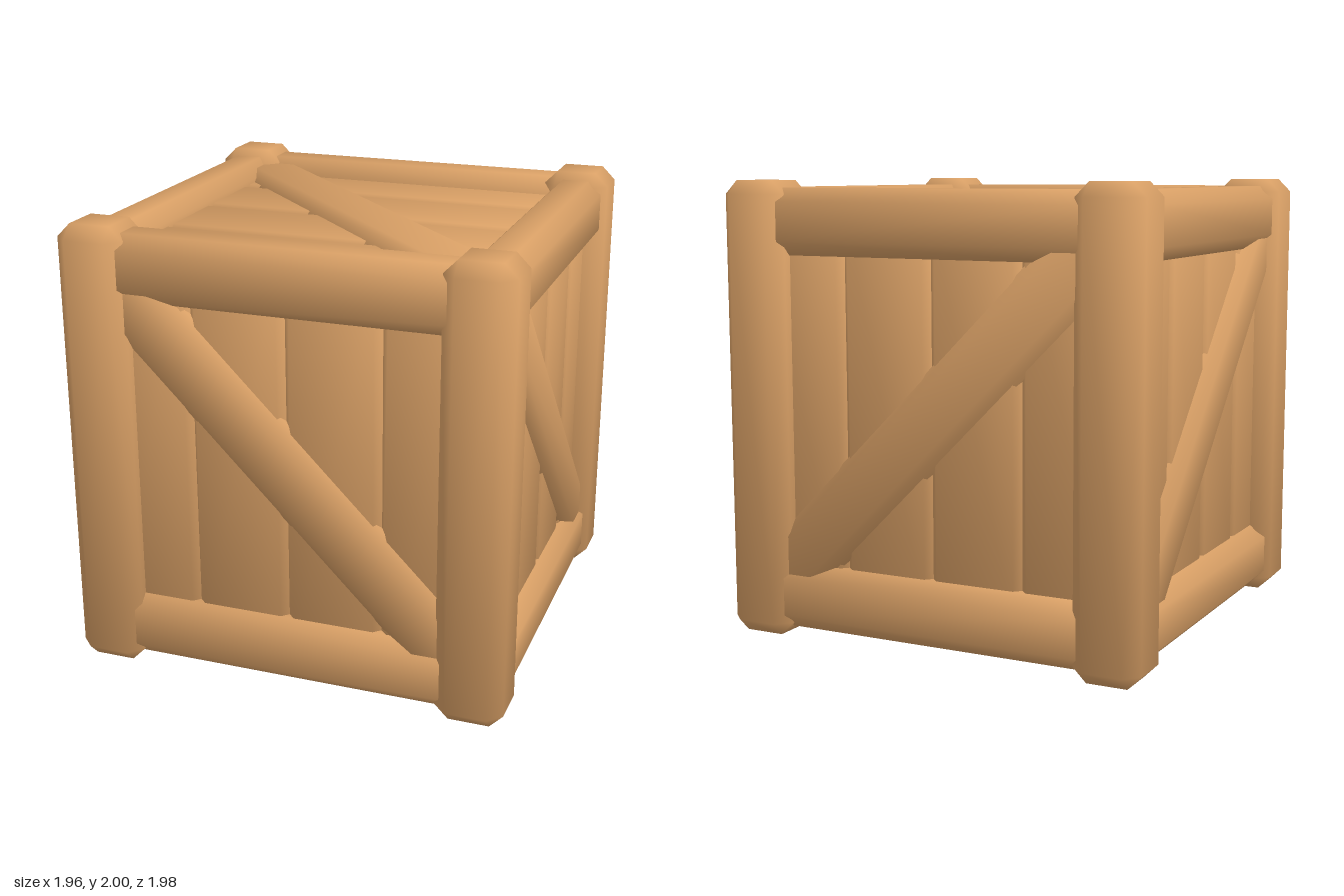
import * as THREE from 'three';
import { ConvexGeometry } from 'three/addons/geometries/ConvexGeometry.js';

const wood = new THREE.MeshStandardMaterial({ color: 0xd9a066 });
wood.name = 'wood';

// Box with bevelled edges and soft normals leaning outward at every corner
function bevelBox(w, h, d, bevel) {
  const half = [w / 2, h / 2, d / 2];
  const points = [];
  for (const sx of [-1, 1]) for (const sy of [-1, 1]) for (const sz of [-1, 1]) {
    const s = [sx, sy, sz];
    for (let axis = 0; axis < 3; axis++) {
      points.push(new THREE.Vector3(...half.map((v, i) => s[i] * (i === axis ? v : v - bevel))));
    }
  }
  const geo = new ConvexGeometry(points);
  const pos = geo.attributes.position;
  const n = new THREE.Vector3();
  for (let i = 0; i < pos.count; i++) {
    const p = [pos.getX(i), pos.getY(i), pos.getZ(i)];
    n.set(...p.map((v, k) => Math.sign(v) * (Math.abs(v) > half[k] - 1e-4 ? 2.56 : 1))).normalize();
    geo.attributes.normal.setXYZ(i, n.x, n.y, n.z);
  }
  return geo;
}

function add(parent, name, geo, x, y, z) {
  const mesh = new THREE.Mesh(geo, wood);
  mesh.name = name;
  mesh.position.set(x, y, z);
  parent.add(mesh);
  return mesh;
}

export function createModel() {
  const crate = new THREE.Group();
  crate.name = 'crate';

  // Corner posts
  const post = bevelBox(0.3, 2, 0.3, 0.06);
  for (const x of [-1, 1]) for (const z of [-1, 1]) add(crate, 'cornerPost', post, x * 0.83, 1, z * 0.84);

  // Top and bottom rails
  const railX = bevelBox(1.62, 0.288, 0.24, 0.06);
  const railZ = bevelBox(0.24, 0.288, 1.62, 0.06);
  for (const y of [0.181, 1.824]) for (const s of [-1, 1]) {
    add(crate, 'frontBackRail', railX, 0, y, s * 0.835);
    add(crate, 'sideRail', railZ, s * 0.835, y, 0);
  }

  // Planks and diagonal brace of each face
  const plankWidth = 0.42, thick = 0.12, face = 0.89;
  const upright = bevelBox(plankWidth, 1.68, thick, 0.03);
  const brace = bevelBox(2.2, 0.318, 0.2, 0.06);
  const braceDepth = 0.938 - 0.1;
  const offsets = [-1.5, -0.5, 0.5, 1.5].map((k) => k * plankWidth);

  for (const s of [-1, 1]) {
    for (const o of offsets) add(crate, 'frontBackPlank', upright, o, 1, s * (face - thick / 2));
    add(crate, 'frontBackBrace', brace, 0, 1, s * braceDepth).rotation.z = -Math.PI / 4;
  }

  for (const s of [-1, 1]) {
    const side = new THREE.Group();
    side.name = s > 0 ? 'leftSide' : 'rightSide';
    side.rotation.y = Math.PI / 2;
    for (const o of offsets) add(side, 'sidePlank', upright, o, 1, s * (face - thick / 2));
    add(side, 'sideBrace', brace, 0, 1, s * braceDepth).rotation.z = -Math.PI / 4;
    crate.add(side);
  }

  // Lid and floor, with planks running across
  const level = bevelBox(1.68, thick, plankWidth, 0.03);
  const flatBrace = bevelBox(2.2, 0.2, 0.318, 0.06);
  for (const s of [-1, 1]) {
    const name = s > 0 ? 'lid' : 'floor';
    for (const o of offsets) add(crate, name + 'Plank', level, 0, 1 + s * (face - thick / 2), o);
    add(crate, name + 'Brace', flatBrace, 0, 1 + s * braceDepth, 0).rotation.y = -Math.PI / 4;
  }
  return crate;
}
